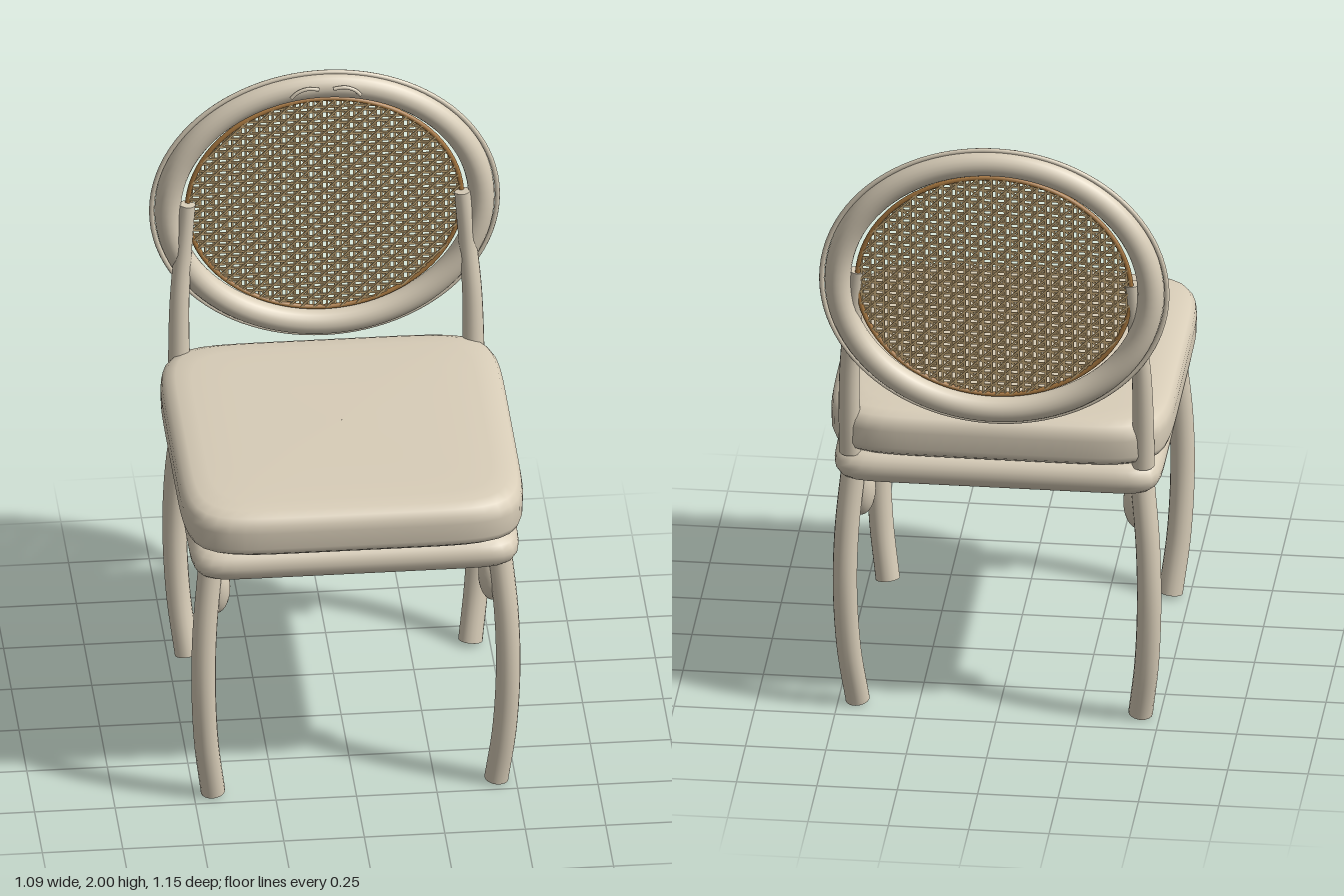
import * as THREE from 'three';

const cream = new THREE.MeshStandardMaterial({ color: 0xd8cdb8, side: THREE.DoubleSide });
const rimBrown = new THREE.MeshStandardMaterial({ color: 0xa87840 });
const caneTan = new THREE.MeshStandardMaterial({ color: 0xc4a878 });

const V = (x, y, z) => new THREE.Vector3(x, y, z);

function add(parent, name, geometry, material = cream) {
  const mesh = new THREE.Mesh(geometry, material);
  mesh.name = name;
  parent.add(mesh);
  return mesh;
}

// Closed elliptical hoop of round section, standing in the xy plane
function hoop(rx, ry, radius, sides) {
  const pts = [];
  for (let i = 0; i < 48; i++) {
    const a = (i / 48) * Math.PI * 2;
    pts.push(V(rx * Math.cos(a), ry * Math.sin(a), 0));
  }
  return new THREE.TubeGeometry(new THREE.CatmullRomCurve3(pts, true), 96, radius, sides, true);
}

// Solid made of stacked superellipse outlines: layers are [y, half width, half depth]
function stackedSlab(layers, power, segments = 96) {
  const pos = [], index = [];
  layers.forEach(([y, hx, hz]) => {
    for (let i = 0; i < segments; i++) {
      const a = (i / segments) * Math.PI * 2, c = Math.cos(a), s = Math.sin(a);
      const r = Math.pow(Math.pow(Math.abs(c), power) + Math.pow(Math.abs(s), power), -1 / power);
      pos.push(hx * r * c, y, hz * r * s);
    }
  });
  for (let j = 0; j < layers.length - 1; j++) {
    for (let i = 0; i < segments; i++) {
      const a = j * segments + i, b = j * segments + (i + 1) % segments;
      index.push(a, a + segments, b, b, a + segments, b + segments);
    }
  }
  const g = new THREE.BufferGeometry();
  g.setAttribute('position', new THREE.Float32BufferAttribute(pos, 3));
  g.setIndex(index);
  g.computeVertexNormals();
  return g;
}

// Round bar along a smooth path, tapering from r0 to r1, with closed ends
function bar(parent, name, points, r0, r1) {
  const group = new THREE.Group();
  group.name = name;
  parent.add(group);
  const steps = 24, sides = 16;
  const curve = new THREE.CatmullRomCurve3(points);
  const g = new THREE.TubeGeometry(curve, steps, r0, sides);
  const p = g.attributes.position, v = V(0, 0, 0);
  for (let i = 0; i < p.count; i++) {
    const t = Math.floor(i / (sides + 1)) / steps, c = curve.getPointAt(t);
    v.fromBufferAttribute(p, i).sub(c).multiplyScalar(1 + (r1 / r0 - 1) * t).add(c);
    p.setXYZ(i, v.x, v.y, v.z);
  }
  add(group, name + 'Shaft', g);
  [[0, r0, -1], [1, r1, 1]].forEach(([t, r, dir]) => {
    const cap = add(group, name + 'End', new THREE.CircleGeometry(r, sides));
    cap.position.copy(curve.getPointAt(t));
    cap.quaternion.setFromUnitVectors(V(0, 0, 1), curve.getTangentAt(t).multiplyScalar(dir));
  });
}

// Woven cane: paired upright and level strands with diagonals, clipped to an ellipse
function caneWeave(parent, rx, ry) {
  const strand = (angle, offset, width, z) => {
    const dx = Math.cos(angle), dy = Math.sin(angle);
    const ox = -dy * offset, oy = dx * offset;
    const A = (dx / rx) ** 2 + (dy / ry) ** 2;
    const B = ox * dx / rx ** 2 + oy * dy / ry ** 2;
    const C = (ox / rx) ** 2 + (oy / ry) ** 2 - 1;
    const disc = B * B - A * C;
    if (disc <= 0) return;
    const mid = -B / A, length = 2 * Math.sqrt(disc) / A;
    const m = add(parent, 'caneStrand', new THREE.BoxGeometry(length, width, 0.005), caneTan);
    m.position.set(ox + dx * mid, oy + dy * mid, z);
    m.rotation.z = angle;
  };
  const pitch = 0.042;
  for (let i = -15; i <= 15; i++) {
    for (const side of [-1, 1]) {
      strand(0, i * pitch + side * 0.008, 0.007, 0.002);
      strand(Math.PI / 2, i * pitch + side * 0.008, 0.007, -0.002);
    }
    strand(Math.PI / 4, i * pitch * Math.SQRT1_2, 0.006, 0.005);
    strand(-Math.PI / 4, i * pitch * Math.SQRT1_2, 0.006, -0.005);
  }
}

export function createModel() {
  const chair = new THREE.Group();
  chair.name = 'chair';

  // Cushion with softly rounded upper and lower edges
  const cushion = add(chair, 'seatCushion', stackedSlab([
    [0.905, 0.001, 0.001], [0.905, 0.48, 0.5], [0.91, 0.505, 0.525], [0.925, 0.524, 0.545],
    [0.945, 0.531, 0.552], [1.0, 0.532, 0.553], [1.025, 0.528, 0.549], [1.045, 0.515, 0.536],
    [1.058, 0.488, 0.51], [1.064, 0.44, 0.46], [1.067, 0.34, 0.35], [1.069, 0.18, 0.18],
    [1.07, 0.001, 0.001],
  ], 7));
  cushion.position.z = 0.02;

  // Seat frame with a half-round edge
  const layers = [[0.8, 0.001, 0.001]];
  for (let i = 0; i <= 10; i++) {
    const a = -Math.PI / 2 + (i / 10) * Math.PI;
    layers.push([0.856 + 0.056 * Math.sin(a), 0.455 + 0.056 * Math.cos(a), 0.475 + 0.056 * Math.cos(a)]);
  }
  layers.push([0.912, 0.001, 0.001]);
  const frame = add(chair, 'seatFrame', stackedSlab(layers, 14, 128));
  frame.position.z = 0.01;

  for (const s of [-1, 1]) {
    // Bowed legs with a rounded knee on the inner side
    bar(chair, 'frontLeg', [V(s * 0.44, 0.01, 0.44), V(s * 0.463, 0.2, 0.463), V(s * 0.473, 0.42, 0.477),
      V(s * 0.468, 0.62, 0.472), V(s * 0.448, 0.84, 0.45)], 0.038, 0.038);
    bar(chair, 'backLeg', [V(s * 0.44, 0.01, -0.4), V(s * 0.463, 0.2, -0.437), V(s * 0.473, 0.42, -0.457),
      V(s * 0.468, 0.62, -0.452), V(s * 0.448, 0.84, -0.43)], 0.038, 0.038);
    for (const z of [0.425, -0.388]) {
      const knee = add(chair, 'legKnee', new THREE.SphereGeometry(1, 24, 16));
      knee.scale.set(0.046, 0.09, 0.046);
      knee.position.set(s * 0.431, 0.732, z);
    }
    // Posts carrying the backrest
    bar(chair, 'backPost', [V(s * 0.455, 0.9, -0.468), V(s * 0.457, 1.05, -0.482), V(s * 0.454, 1.22, -0.497),
      V(s * 0.442, 1.38, -0.515), V(s * 0.427, 1.55, -0.522)], 0.036, 0.025);
  }

  // Oval backrest
  const back = new THREE.Group();
  back.name = 'backrest';
  back.position.set(0, 1.525, -0.535);
  chair.add(back);
  add(back, 'backRing', hoop(0.487, 0.424, 0.041, 20));
  add(back, 'ringBead', hoop(0.537, 0.467, 0.008, 8));
  add(back, 'caneRim', hoop(0.426, 0.373, 0.008, 8), rimBrown);
  const panel = new THREE.Group();
  panel.name = 'canePanel';
  back.add(panel);
  caneWeave(panel, 0.426, 0.373);

  // Pair of curved crest ornaments
  for (const s of [-1, 1]) {
    const path = new THREE.CatmullRomCurve3([V(s * 0.022, 0.437, 0.053), V(s * 0.06, 0.44, 0.053),
      V(s * 0.09, 0.428, 0.053), V(s * 0.108, 0.41, 0.053)]);
    add(back, 'crestOrnament', new THREE.TubeGeometry(path, 16, 0.006, 8));
  }
  return chair;
}
